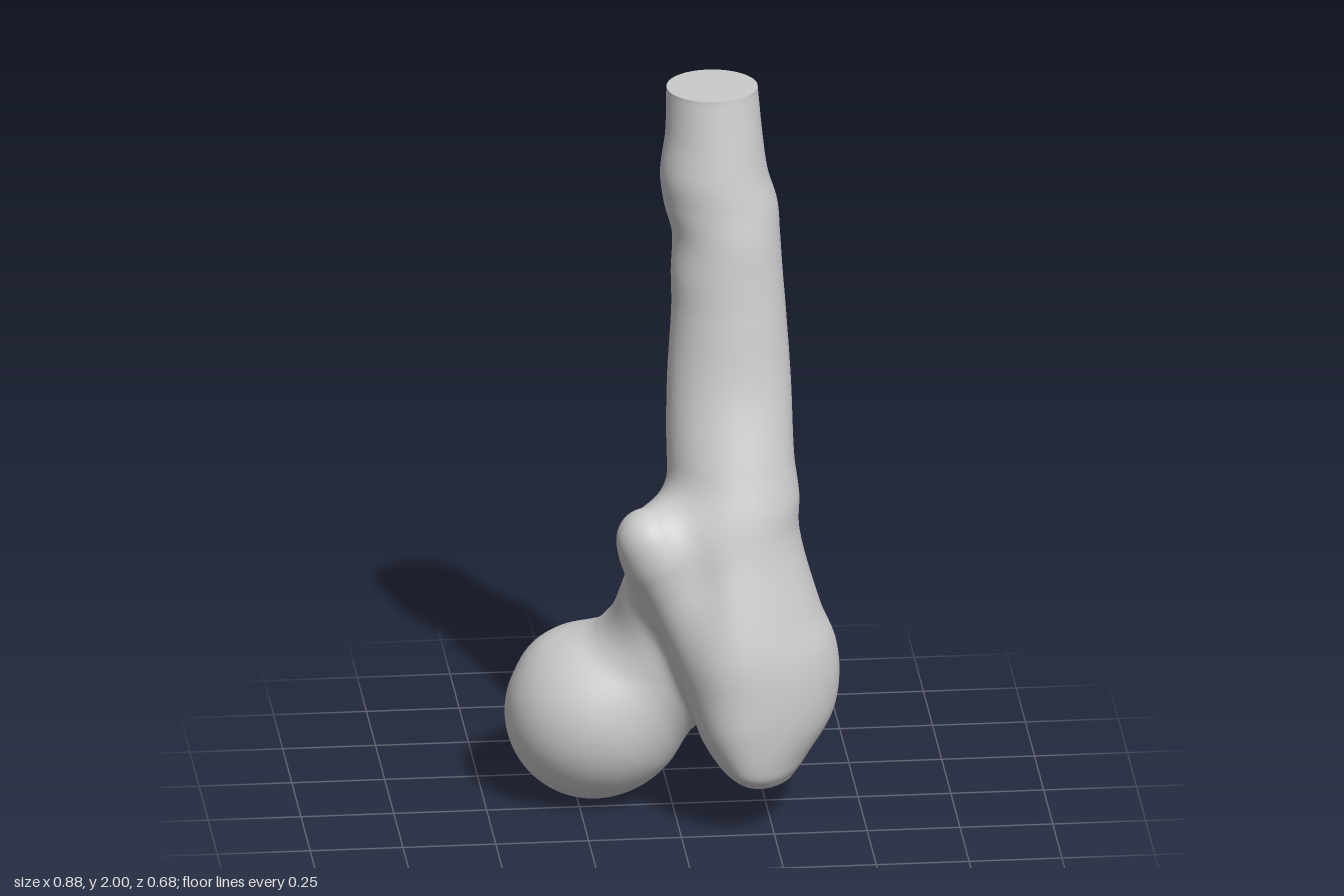
import * as THREE from 'three';

const V = (x, y, z) => new THREE.Vector3(x, y, z);

// Shaft sections, bottom to top: y, xMin, xMax, zMin, zMax, bend (front and back lean to -x)
const SECTIONS = [
  [0.12, 0.229, 0.231, 0.119, 0.121, 0.2],
  [0.13, 0.17, 0.295, 0.02, 0.24, 0.25],
  [0.16, 0.125, 0.325, -0.04, 0.3, 0.3],
  [0.2, 0.095, 0.355, -0.08, 0.323, 0.35],
  [0.3, 0.06, 0.42, -0.125, 0.335, 0.4],
  [0.4, 0.045, 0.44, -0.15, 0.335, 0.4],
  [0.5, 0.03, 0.43, -0.155, 0.328, 0.4],
  [0.6, 0.02, 0.39, -0.15, 0.305, 0.33],
  [0.8, 0, 0.337, -0.148, 0.24, 0.15],
  [0.9, -0.005, 0.338, -0.147, 0.21, 0.08],
  [1.0, -0.015, 0.327, -0.16, 0.172, 0],
  [1.2, -0.01, 0.323, -0.185, 0.1, 0],
  [1.4, 0.005, 0.312, -0.213, 0.062, 0],
  [1.5, 0.005, 0.305, -0.225, 0.048, 0],
  [1.6, 0.01, 0.3, -0.255, 0.035, 0],
  [1.68, -0.01, 0.295, -0.275, 0.02, 0],
  [1.77, -0.02, 0.269, -0.262, 0.007, 0],
  [1.88, -0.005, 0.255, -0.262, -0.015, 0],
  [2.0, 0, 0.245, -0.278, -0.038, 0],
];

// Smoothly interpolated section at height y
function sectionAt(y) {
  const S = SECTIONS, n = S.length;
  y = Math.min(Math.max(y, S[0][0]), S[n - 1][0]);
  let i = 0;
  while (i < n - 2 && y > S[i + 1][0]) i++;
  const A = S[Math.max(i - 1, 0)], B = S[i], C = S[i + 1], D = S[Math.min(i + 2, n - 1)];
  const h = C[0] - B[0], t = (y - B[0]) / h, t2 = t * t, t3 = t2 * t;
  const v = [1, 2, 3, 4, 5].map((k) => {
    const m0 = ((C[k] - A[k]) / (C[0] - A[0])) * h, m1 = ((D[k] - B[k]) / (D[0] - B[0])) * h;
    return (2 * t3 - 3 * t2 + 1) * B[k] + (t3 - 2 * t2 + t) * m0 + (3 * t2 - 2 * t3) * C[k] + (t3 - t2) * m1;
  });
  return {
    cx: (v[0] + v[1]) / 2, cz: (v[2] + v[3]) / 2,
    hx: Math.max((v[1] - v[0]) / 2, 0.001), hz: Math.max((v[3] - v[2]) / 2, 0.001), bend: v[4],
  };
}

function sectionPoint(s, a) {
  const w = Math.sin(a);
  return [s.cx + s.hx * (Math.cos(a) - s.bend * w * w), s.cz + s.hz * w];
}

// Tapered round-ended limbs: end a, end b and their radii
const LIMBS = {
  head: { a: V(-0.204, 0.237, -0.1), b: V(-0.203, 0.238, -0.1), ra: 0.237, rb: 0.237 },
  neck: { a: V(-0.14, 0.27, -0.095), b: V(0.13, 0.56, 0.015), ra: 0.188, rb: 0.125 },
  neckRidge: { a: V(-0.07, 0.49, -0.03), b: V(-0.045, 0.73, 0.09), ra: 0.105, rb: 0.075 },
  lesserTrochanter: { a: V(0.1, 0.79, 0.035), b: V(-0.08, 0.82, 0.14), ra: 0.17, rb: 0.084 },
  crest: { a: V(0.15, 0.32, 0.2), b: V(-0.04, 0.74, 0.15), ra: 0.08, rb: 0.075 },
};
const HEAD_LUMP = { a: V(-0.29, 0.35, -0.13), b: V(-0.25, 0.35, -0.17), ra: 0.09, rb: 0.09 };
const FOSSA = { a: V(0.08, 0.14, -0.08), b: V(0.11, 0.24, -0.12), ra: 0.09, rb: 0.06 };

function limbDistance(p, { a, b, ra, rb }) {
  const dx = b.x - a.x, dy = b.y - a.y, dz = b.z - a.z;
  const px = p.x - a.x, py = p.y - a.y, pz = p.z - a.z;
  let t = (px * dx + py * dy + pz * dz) / (dx * dx + dy * dy + dz * dz);
  t = Math.min(Math.max(t, 0), 1);
  return Math.hypot(px - t * dx, py - t * dy, pz - t * dz) - (ra + (rb - ra) * t);
}

function shaftDistance(p) {
  const s = sectionAt(p.y);
  const w = (p.z - s.cz) / s.hz, u = (p.x - s.cx) / s.hx + s.bend * Math.min(w * w, 1.5);
  return Math.max((Math.hypot(u, w) - 1) * Math.min(s.hx, s.hz), SECTIONS[0][0] - p.y);
}

function blend(a, b, k) {
  const h = Math.max(k - Math.abs(a - b), 0) / k;
  return Math.min(a, b) - (h * h * k) / 4;
}

// Signed distance to the whole bone with soft fillets between parts
function field(p) {
  let f = shaftDistance(p);
  f = -blend(-f, limbDistance(p, FOSSA), 0.09);
  for (const name in LIMBS) f = blend(f, limbDistance(p, LIMBS[name]), 0.08);
  return blend(f, limbDistance(p, HEAD_LUMP), 0.04);
}

function gradient(p, out) {
  const e = 0.004, q = p.clone();
  for (const k of ['x', 'y', 'z']) {
    q[k] = p[k] + e;
    const hi = field(q);
    q[k] = p[k] - e;
    out[k] = (hi - field(q)) / (2 * e);
    q[k] = p[k];
  }
  return out;
}

// Pull a part's vertices onto the blended surface and take normals from it
function wrap(geometry) {
  const pos = geometry.attributes.position, nor = geometry.attributes.normal;
  const p = V(), g = V();
  for (let i = 0; i < pos.count; i++) {
    p.fromBufferAttribute(pos, i);
    if (field(p) < -0.06) continue; // hidden inside another part
    for (let n = 0; n < 7; n++) {
      const f = field(p);
      if (Math.abs(f) < 0.0004) break;
      gradient(p, g);
      const step = f / Math.max(g.lengthSq(), 0.2);
      g.multiplyScalar(-step);
      p.add(g.clampLength(0, 0.03));
    }
    p.y = Math.min(p.y, 2);
    gradient(p, g).normalize();
    pos.setXYZ(i, p.x, p.y, p.z);
    nor.setXYZ(i, g.x, g.y, g.z);
  }
  return geometry;
}

// Shaft with the greater trochanter at its lower end
function shaftGeometry() {
  const around = 72, per = 7, rows = (SECTIONS.length - 1) * per, verts = [], index = [];
  for (let i = 0; i <= rows; i++) {
    const k = Math.min(Math.floor(i / per), SECTIONS.length - 2), t = i / per - k;
    const y = SECTIONS[k][0] * (1 - t) + SECTIONS[k + 1][0] * t, s = sectionAt(y);
    for (let j = 0; j <= around; j++) {
      const [x, z] = sectionPoint(s, (j / around) * Math.PI * 2);
      verts.push(x, y, z);
      if (i < rows && j < around) {
        const a = i * (around + 1) + j, b = a + around + 1;
        index.push(a, b, a + 1, b, b + 1, a + 1);
      }
    }
  }
  const geometry = new THREE.BufferGeometry();
  geometry.setAttribute('position', new THREE.Float32BufferAttribute(verts, 3));
  geometry.setIndex(index);
  geometry.computeVertexNormals();
  return geometry;
}

function limbGeometry({ a, b, ra, rb }) {
  const length = a.distanceTo(b), profile = [], n = 20;
  const arc = (r, y, from) => {
    for (let i = 0; i <= n; i++) {
      const t = from + (i / n) * (Math.PI / 2);
      profile.push(new THREE.Vector2(Math.max(r * Math.cos(t), 0), y + r * Math.sin(t)));
    }
  };
  arc(ra, 0, -Math.PI / 2);
  const mid = Math.floor(length / 0.02);
  for (let i = 1; i < mid; i++) profile.push(new THREE.Vector2(ra + ((rb - ra) * i) / mid, (length * i) / mid));
  arc(rb, length, 0);
  const geometry = new THREE.LatheGeometry(profile, 56);
  const turn = new THREE.Quaternion().setFromUnitVectors(V(0, 1, 0), b.clone().sub(a).normalize());
  return geometry.applyQuaternion(turn).translate(a.x, a.y, a.z);
}

// Flat cut across the top of the shaft
function cutGeometry() {
  const s = sectionAt(2), points = [];
  for (let j = 0; j < 72; j++) {
    const [x, z] = sectionPoint(s, (j / 72) * Math.PI * 2);
    points.push(new THREE.Vector2(x, -z));
  }
  return new THREE.ShapeGeometry(new THREE.Shape(points)).rotateX(-Math.PI / 2).translate(0, 2, 0);
}

export function createModel() {
  const group = new THREE.Group();
  group.name = 'thighBone';
  const material = new THREE.MeshStandardMaterial({ color: 0xcccccc });
  const add = (name, geometry) => {
    const mesh = new THREE.Mesh(geometry, material);
    mesh.name = name;
    group.add(mesh);
  };
  add('shaft', wrap(shaftGeometry()));
  add('cutFace', cutGeometry());
  for (const name in LIMBS) add(name, wrap(limbGeometry(LIMBS[name])));
  return group;
}
